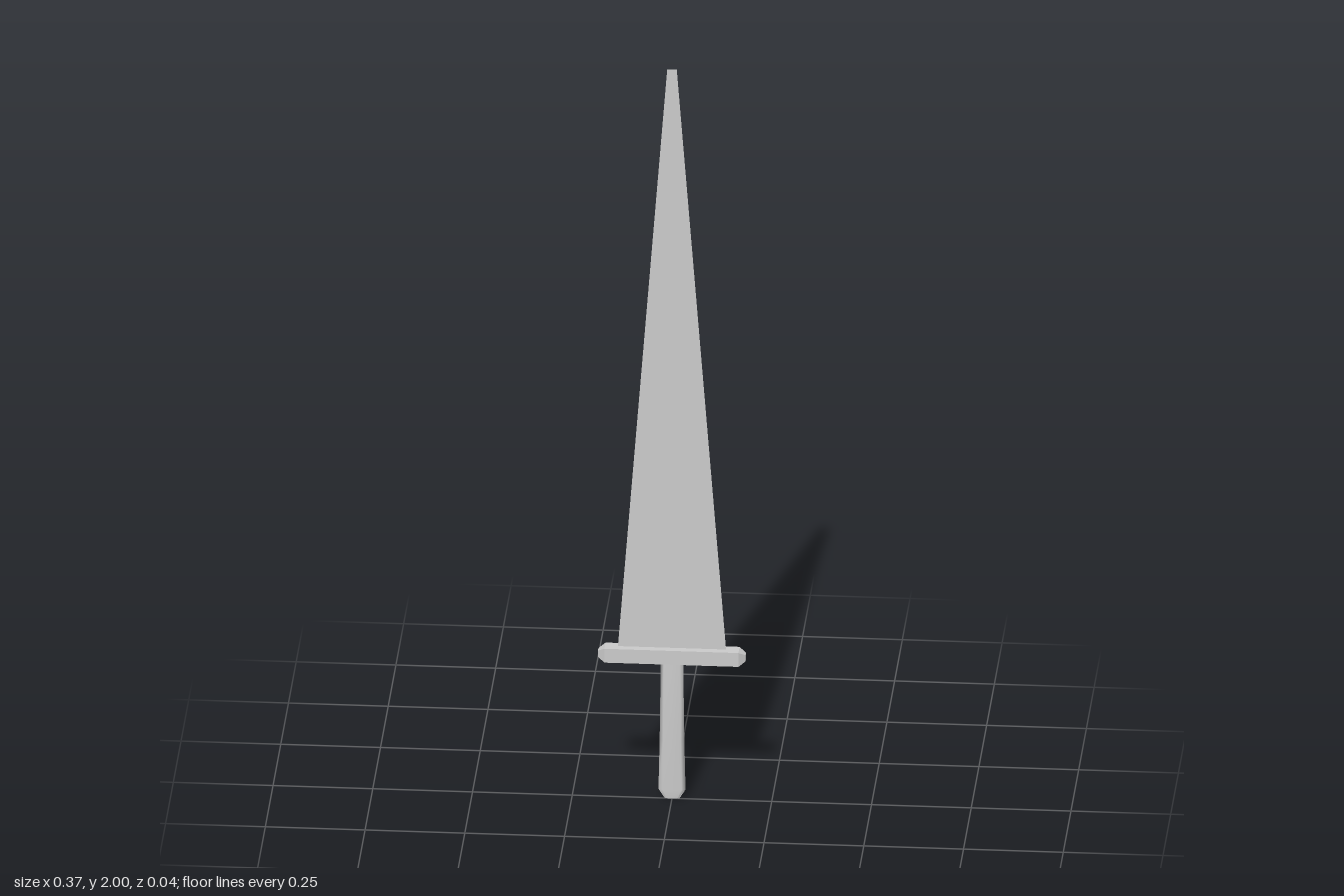
import * as THREE from 'three';
import { mergeVertices } from 'three/addons/utils/BufferGeometryUtils.js';

const GUARD_Y = 0.394;

// Move every vertex of a geometry by a rule
function reshape(geometry, rule) {
  const pos = geometry.attributes.position;
  const v = new THREE.Vector3();
  for (let i = 0; i < pos.count; i++) {
    rule(v.fromBufferAttribute(pos, i));
    pos.setXYZ(i, v.x, v.y, v.z);
  }
  return geometry;
}

// Thin flat blade tapering to a narrow blunt tip
function bladeGeometry() {
  const shape = new THREE.Shape([
    new THREE.Vector2(-0.137, GUARD_Y),
    new THREE.Vector2(0.137, GUARD_Y),
    new THREE.Vector2(0.012, 2),
    new THREE.Vector2(-0.012, 2),
  ]);
  return new THREE.ShapeGeometry(shape);
}

// Square bar whose two ends narrow to a small face
function guardGeometry() {
  const bar = new THREE.BoxGeometry(0.37, 0.038, 0.038, 3, 1, 1);
  return reshape(bar, (v) => {
    if (Math.abs(v.x) > 0.1) {
      v.y *= 0.45;
      v.z *= 0.4;
    } else {
      v.x = Math.sign(v.x) * 0.168;
    }
  });
}

// Flattened grip: rows of [height, half width, half depth], top to bottom
function gripGeometry() {
  const rows = [
    [0.385, 0.028, 0.009],
    [0.16, 0.031, 0.006],
    [0.025, 0.034, 0.003],
    [0, 0.018, 0.001],
  ];
  const grip = new THREE.CylinderGeometry(1, 1, rows.length - 1, 8, rows.length - 1);
  grip.deleteAttribute('uv');
  grip.deleteAttribute('normal');
  reshape(grip, (v) => {
    const [y, halfWidth, halfDepth] = rows[Math.round((rows.length - 1) / 2 - v.y)];
    v.set(v.x * halfWidth, y, v.z * halfDepth);
  });
  const welded = mergeVertices(grip, 1e-5);
  welded.computeVertexNormals();
  return welded;
}

export function createModel() {
  const group = new THREE.Group();
  group.name = 'sword';

  const add = (name, geometry, options = {}) => {
    const material = new THREE.MeshStandardMaterial({ color: 0xcccccc, ...options });
    const mesh = new THREE.Mesh(geometry, material);
    mesh.name = name;
    group.add(mesh);
    return mesh;
  };

  add('blade', bladeGeometry(), { side: THREE.DoubleSide });
  add('guard', guardGeometry(), { flatShading: true }).position.y = GUARD_Y;
  add('grip', gripGeometry());

  return group;
}
